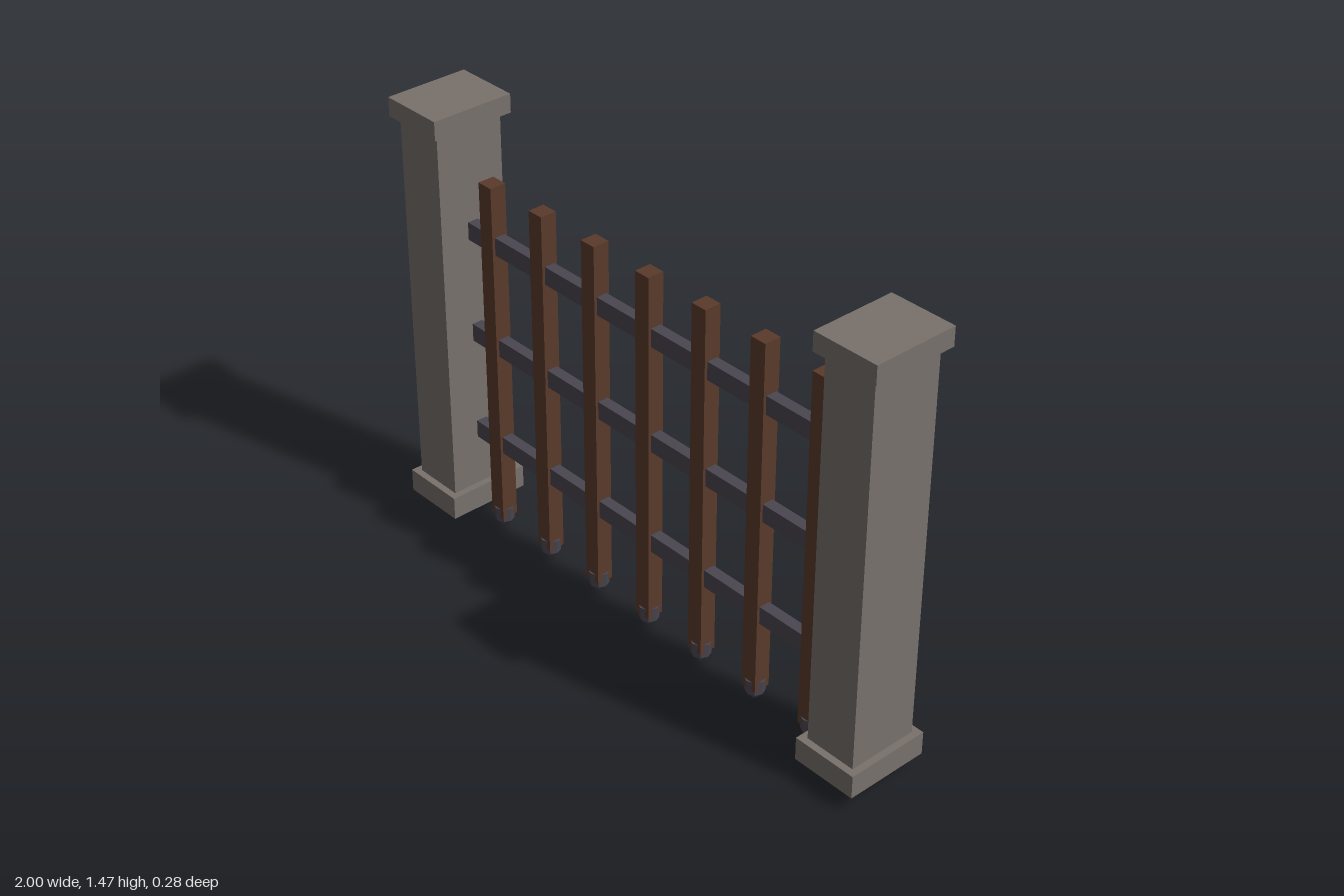
import * as THREE from 'three';

const stone = new THREE.MeshStandardMaterial({ name: 'stone', color: 0x78716b });
const wood = new THREE.MeshStandardMaterial({ name: 'brown wood', color: 0x5a3a2b });
const iron = new THREE.MeshStandardMaterial({ name: 'dark iron', color: 0x4a4650 });

function box(name, material, w, h, d, x, yBottom) {
  const mesh = new THREE.Mesh(new THREE.BoxGeometry(w, h, d), material);
  mesh.name = name;
  mesh.position.set(x, yBottom + h / 2, 0);
  return mesh;
}

export function createModel() {
  const model = new THREE.Group();
  model.name = 'fenceSection';

  // Stone pillars with a wider base and cap
  for (const side of [-1, 1]) {
    const pillar = new THREE.Group();
    pillar.name = side > 0 ? 'leftPillar' : 'rightPillar';
    const x = side * 0.889;
    pillar.add(
      box('pillarBase', stone, 0.222, 0.078, 0.284, x, 0.052),
      box('pillarShaft', stone, 0.176, 1.275, 0.238, x, 0.13),
      box('pillarCap', stone, 0.222, 0.062, 0.284, x, 1.405)
    );
    model.add(pillar);
  }

  // Horizontal iron rails between the pillars
  for (const y of [0.305, 0.664, 1.022]) {
    model.add(box('rail', iron, 1.604, 0.06, 0.037, 0, y));
  }

  // Pointed iron shoe, faceted by unshared vertices
  const profile = [[0, 0], [0.031, 0.035], [0.035, 0.085], [0, 0.085]]
    .map(([r, y]) => new THREE.Vector2(r, y));
  const shoe = new THREE.LatheGeometry(profile, 8).toNonIndexed();
  shoe.computeVertexNormals();

  // Upright wooden bars, each ending in a shoe
  for (let i = -3; i <= 3; i++) {
    const x = i * 0.2333;
    const tip = new THREE.Mesh(shoe, iron);
    tip.name = 'barTip';
    tip.position.x = x;
    const upright = new THREE.Group();
    upright.name = 'upright';
    upright.add(box('bar', wood, 0.056, 1.195, 0.056, x, 0.055), tip);
    model.add(upright);
  }
  return model;
}
